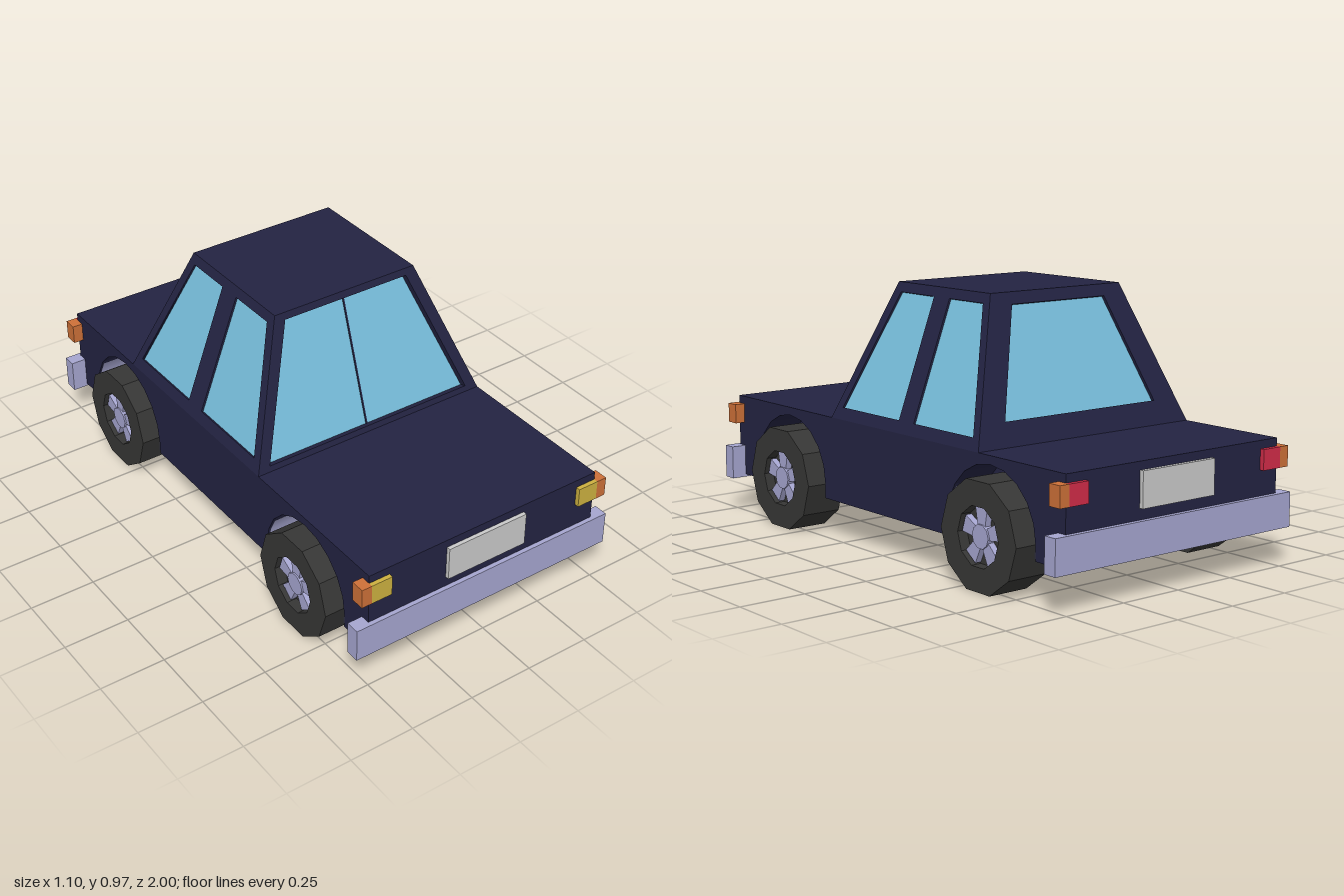
import * as THREE from 'three';

const mat = (name, color, extra = {}) => {
  const m = new THREE.MeshStandardMaterial({ color, ...extra });
  m.name = name;
  return m;
};

export function createModel() {
  const M = {
    paint: mat('navy paint', 0x232342),
    glass: mat('blue glass', 0x78bfdd, { side: THREE.DoubleSide }),
    metal: mat('lavender metal', 0xa5a5cf, { side: THREE.DoubleSide }),
    tyre: mat('dark rubber', 0x363635),
    plate: mat('grey plate', 0xc9c9c9),
    amber: mat('amber lamp', 0xcc7038),
    yellow: mat('yellow lamp', 0xccb040),
    red: mat('red lamp', 0xd02c48),
  };
  const car = new THREE.Group();
  car.name = 'car';

  const add = (parent, name, geo, material, x = 0, y = 0, z = 0) => {
    const mesh = new THREE.Mesh(geo, material);
    mesh.name = name;
    mesh.position.set(x, y, z);
    parent.add(mesh);
    return mesh;
  };
  // Box given by its minimum and maximum on each axis
  const box = (name, material, [x0, x1], [y0, y1], [z0, z1]) =>
    add(car, name, new THREE.BoxGeometry(x1 - x0, y1 - y0, z1 - z0), material,
      (x0 + x1) / 2, (y0 + y1) / 2, (z0 + z1) / 2);
  const polygon = (pts) => new THREE.Shape(pts.map(([x, y]) => new THREE.Vector2(x, y)));

  const AXLES = [0.613, -0.602];
  const SIDES = [1, -1];

  // Lower body: a middle block and two side slabs with wheel arches
  const W = 0.49, WELL = 0.34, LOW = 0.145, TOP = 0.46, END = 0.983;
  box('bodyCentre', M.paint, [-WELL, WELL], [LOW, TOP], [-END, END]);
  const outline = [[-END, LOW]];
  const archR = 0.235, archY = 0.195;
  for (const c of [...AXLES].reverse()) {
    outline.push([c - archR, LOW]);
    for (let i = 0; i <= 10; i++) {
      const a = Math.PI * (1 - i / 10);
      outline.push([c + archR * Math.cos(a), archY + archR * Math.sin(a)]);
    }
    outline.push([c + archR, LOW]);
  }
  outline.push([END, LOW], [END, TOP], [-END, TOP]);
  const slab = new THREE.ExtrudeGeometry(polygon(outline), { depth: W - WELL, bevelEnabled: false });
  slab.rotateY(-Math.PI / 2);
  add(car, 'bodySideLeft', slab, M.paint, W);
  add(car, 'bodySideRight', slab, M.paint, -WELL);

  // Cabin: four leaning walls with window openings and recessed glass
  const H = 0.507, CABIN_Z = -0.105;
  const cabin = new THREE.Group();
  cabin.name = 'cabin';
  cabin.position.set(0, TOP, CABIN_Z);
  car.add(cabin);
  const wall = (name, turn, dist, inset, halfLow, halfTop, windows, recess) => {
    const L = Math.hypot(H, inset);
    const pivot = new THREE.Group();
    pivot.name = name;
    pivot.rotation.y = turn;
    cabin.add(pivot);
    const panel = new THREE.Group();
    panel.name = name + 'Panel';
    panel.position.z = dist;
    panel.rotation.x = -Math.atan2(inset, H);
    pivot.add(panel);
    const shape = polygon([[-halfLow, 0], [halfLow, 0], [halfTop, L], [-halfTop, L]]);
    for (const w of windows) {
      const hole = polygon(w.map(([u, y]) => [u, (y - TOP) * L / H]));
      shape.holes.push(hole);
      add(panel, name + 'Glass', new THREE.ShapeGeometry(hole), M.glass, 0, 0, -recess);
    }
    const t = 0.035;
    const geo = new THREE.ExtrudeGeometry(shape, { depth: t, bevelEnabled: false });
    add(panel, name + 'Frame', geo, M.paint, 0, 0, -t);
    return panel;
  };
  const windscreen = wall('windscreen', 0, 0.435, 0.17, W, 0.3,
    [[[-0.437, 0.48], [0.437, 0.48], [0.262, 0.942], [-0.262, 0.942]]], 0.028);
  add(windscreen, 'windscreenDivider', new THREE.BoxGeometry(0.006, 0.485, 0.006), M.paint, 0, 0.264, -0.027);
  wall('rearWindow', Math.PI, 0.435, 0.17, W, 0.3,
    [[[-0.35, 0.545], [0.35, 0.545], [0.215, 0.925], [-0.215, 0.925]]], 0.012);
  for (const s of SIDES) {
    const flip = (pts) => pts.map(([u, y]) => [-s * u, y]);
    wall(s > 0 ? 'leftDoor' : 'rightDoor', s * Math.PI / 2, W, 0.19, 0.435, 0.265, [
      flip([[0.035, 0.503], [0.383, 0.503], [0.235, 0.932], [0.037, 0.932]]),
      flip([[-0.052, 0.503], [-0.387, 0.503], [-0.24, 0.932], [-0.052, 0.932]]),
    ], 0.008);
  }
  add(cabin, 'roof', new THREE.BoxGeometry(0.6, 0.012, 0.53), M.paint, 0, H - 0.006, 0);

  // Bumpers, number plates and lamps at both ends
  for (const e of SIDES) {
    const end = e > 0 ? 'front' : 'rear';
    const zs = (a, b) => (e > 0 ? [a, b] : [-b, -a]);
    box(end + 'Bumper', M.metal, [-0.548, 0.548], [0.135, 0.262], zs(0.947, 1));
    box(end + 'Plate', M.plate, [-0.167, 0.167], [0.302, 0.43], zs(0.975, 0.998));
    for (const s of SIDES) {
      const xs = (a, b) => (s > 0 ? [a, b] : [-b, -a]);
      box(end + 'Lamp', e > 0 ? M.yellow : M.red, xs(0.407, 0.49), [0.355, 0.43], zs(0.947, 1));
      box(end + 'Indicator', M.amber, xs(0.49, 0.53), [0.355, 0.43], zs(0.947, 1));
    }
  }

  // Wheels: ten-sided tyre with a recessed hub and five flared spokes
  const profile = [[0, -0.08], [0.2, -0.08], [0.2, 0.08], [0.108, 0.08], [0.108, 0.04], [0, 0.04]];
  const tyreGeo = new THREE.LatheGeometry(profile.map(([r, y]) => new THREE.Vector2(r, y)), 10)
    .toNonIndexed();
  tyreGeo.computeVertexNormals();
  tyreGeo.rotateZ(-Math.PI / 2);
  const spokeGeo = new THREE.ExtrudeGeometry(
    polygon([[-0.017, 0.02], [0.017, 0.02], [0.031, 0.098], [-0.031, 0.098]]),
    { depth: 0.025, bevelEnabled: false });
  spokeGeo.rotateY(Math.PI / 2);
  const hubGeo = new THREE.CylinderGeometry(0.043, 0.043, 0.03, 10).rotateZ(-Math.PI / 2);
  // Metal liners on the lower ends of each wheel well
  const linerGeo = (start) =>
    new THREE.CylinderGeometry(0.23, 0.23, 0.146, 3, 1, true, start, 0.8).rotateZ(Math.PI / 2);
  const liners = [linerGeo(-0.2), linerGeo(Math.PI - 0.6)];

  for (const z of AXLES) {
    for (const s of SIDES) {
      const wheel = new THREE.Group();
      wheel.name = (z > 0 ? 'front' : 'rear') + (s > 0 ? 'Left' : 'Right') + 'Wheel';
      wheel.position.set(s * 0.463, 0.19, z);
      if (s < 0) wheel.rotation.y = Math.PI;
      add(wheel, 'tyre', tyreGeo, M.tyre);
      add(wheel, 'hub', hubGeo, M.metal, 0.055);
      for (let i = 0; i < 5; i++) {
        add(wheel, 'spoke', spokeGeo, M.metal, 0.039).rotation.x = i * Math.PI * 2 / 5;
      }
      car.add(wheel);
      for (const g of liners) add(car, 'wheelWellLiner', g, M.metal, s * 0.414, archY, z);
    }
  }
  return car;
}
